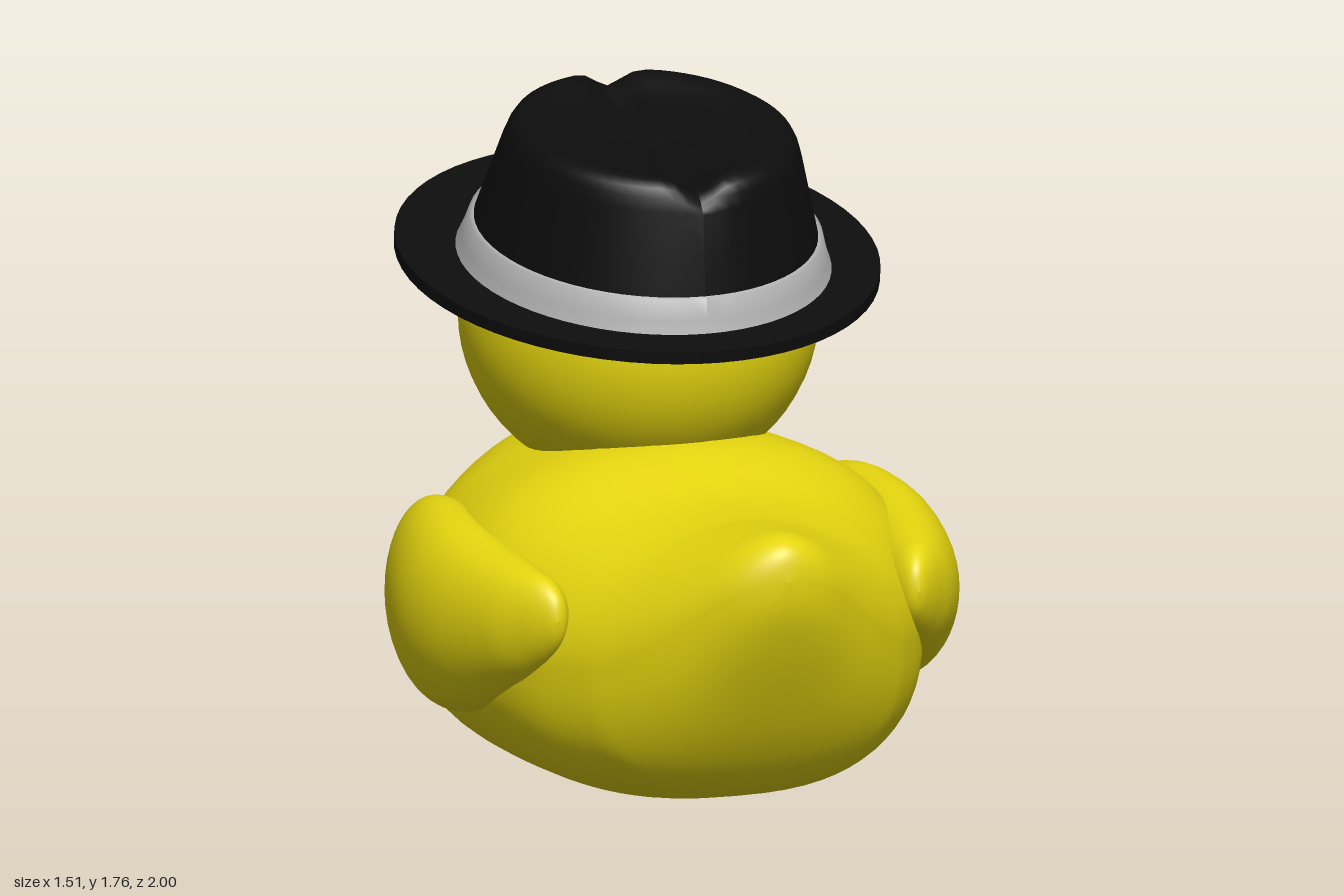
import * as THREE from 'three';

const YELLOW = 0xe6d60f, BLACK = 0x0d0d0d, ORANGE = 0xd58440, SILVER = 0xb8b8b8;

function part(name, geometry, color, parent) {
  const material = new THREE.MeshStandardMaterial({ color, side: THREE.DoubleSide });
  const mesh = new THREE.Mesh(geometry, material);
  mesh.name = name;
  parent.add(mesh);
  return mesh;
}

// Skin through rounded sections running from +z to -z.
// Station: [z, bottom y, top y, half width, centre x, roundness of upper half]
function loft(stations, { sub = 5, sides = 48, lower = 2, mirror = 1 } = {}) {
  const track = (k, def) =>
    new THREE.SplineCurve(stations.map((s) => new THREE.Vector2(s[0], s[k] ?? def)));
  const tracks = [track(1), track(2), track(3), track(4, 0), track(5, 2)];
  const rings = (stations.length - 1) * sub;
  const pos = [], idx = [];
  for (let i = 0; i <= rings; i++) {
    const p = tracks.map((t) => t.getPoint(i / rings));
    const [lo, hi, w, cx, upper] = p.map((v) => v.y);
    for (let j = 0; j < sides; j++) {
      const a = (j / sides) * Math.PI * 2, c = Math.cos(a), s = Math.sin(a);
      const e = 2 / (s > 0 ? upper : lower);
      const x = Math.sign(c) * Math.abs(c) ** e, y = Math.sign(s) * Math.abs(s) ** e;
      pos.push(mirror * cx + x * Math.max(w, 0), (lo + hi) / 2 + (y * (hi - lo)) / 2, p[0].x);
      if (i < rings) {
        const k = (j + 1) % sides, r = i * sides, q = r + sides;
        idx.push(r + j, q + j, r + k, r + k, q + j, q + k);
      }
    }
  }
  const g = new THREE.BufferGeometry();
  g.setAttribute('position', new THREE.Float32BufferAttribute(pos, 3));
  g.setIndex(idx);
  g.computeVertexNormals();
  return g;
}

const lathe = (points) =>
  new THREE.LatheGeometry(points.map(([r, y]) => new THREE.Vector2(r, y)), 64);

function createHat() {
  const hat = new THREE.Group();
  hat.name = 'hat';

  // Flat oval brim
  const brim = new THREE.CylinderGeometry(0.72, 0.72, 0.034, 64);
  brim.scale(0.875, 1, 1);
  part('hatBrim', brim, BLACK, hat);

  // Oval crown, leaning back a little, pinched along the middle of its top
  const shape = (g) => {
    const p = g.attributes.position;
    for (let i = 0; i < p.count; i++) {
      const y = p.getY(i), x = p.getX(i) * 0.89;
      const top = THREE.MathUtils.smoothstep(y, 0.3, 0.39);
      p.setXYZ(i, x, y - 0.045 * top * Math.exp(-((x / 0.05) ** 2)),
        p.getZ(i) + 0.05 + 0.09 * y);
    }
    g.computeVertexNormals();
    return g;
  };
  part('hatCrown', shape(lathe([
    [0.53, 0], [0.505, 0.1], [0.47, 0.22], [0.438, 0.33], [0.425, 0.365], [0.41, 0.388],
    [0.385, 0.402], [0.355, 0.402], [0.32, 0.39], [0.26, 0.375], [0.13, 0.37], [0, 0.37],
  ])), BLACK, hat);

  // Ribbon round the foot of the crown
  part('hatBand', shape(lathe([[0.55, 0.015], [0.535, 0.05], [0.518, 0.105], [0.5, 0.108]])), SILVER, hat);

  hat.position.set(0, 1.33, -0.285);
  hat.rotation.x = 0.139;
  return hat;
}

export function createModel() {
  const duck = new THREE.Group();
  duck.name = 'duck';

  // Body, from upturned tail to chest
  part('body', loft([
    [1.0, 0.76, 0.76, 0, 0, 1.8],
    [0.99, 0.68, 0.825, 0.06, 0, 1.8],
    [0.96, 0.59, 0.857, 0.125, 0, 1.8],
    [0.9, 0.46, 0.87, 0.2, 0, 1.8],
    [0.8, 0.28, 0.86, 0.305, 0, 1.8],
    [0.7, 0.15, 0.848, 0.39, 0, 1.85],
    [0.6, 0.085, 0.84, 0.46, 0, 1.9],
    [0.4, 0.035, 0.85, 0.565, 0, 2.1],
    [0.1, 0.015, 0.915, 0.645, 0, 2.2],
    [-0.2, 0.005, 0.89, 0.645, 0, 2.2],
    [-0.4, 0.01, 0.865, 0.585, 0, 2.2],
    [-0.6, 0.06, 0.835, 0.45, 0, 2.1],
    [-0.7, 0.145, 0.765, 0.34],
    [-0.77, 0.25, 0.67, 0.22],
    [-0.81, 0.36, 0.56, 0.1],
    [-0.82, 0.46, 0.46, 0],
  ], { lower: 2.6, sides: 64 }), YELLOW, duck);

  // Head
  const head = part('head', new THREE.SphereGeometry(0.475, 48, 32), YELLOW, duck);
  head.scale.y = 0.96;
  head.position.set(0, 1.18, -0.275);

  // Bill, ridged on top and flared at the sides
  part('bill', loft([
    [-0.66, 1.03, 1.16, 0.1, 0, 1.5],
    [-0.73, 1.03, 1.16, 0.125, 0, 1.4],
    [-0.79, 1.04, 1.132, 0.14, 0, 1.5],
    [-0.84, 1.052, 1.13, 0.125, 0, 1.8],
    [-0.885, 1.075, 1.13, 0.075],
    [-0.905, 1.105, 1.105, 0],
  ], { sides: 32 }), ORANGE, duck);

  for (const side of [1, -1]) {
    const label = side > 0 ? 'left' : 'right';

    // Folded wing bulging from the flank
    part(label + 'Wing', loft([
      [0.57, 0.585, 0.585, 0, 0.5],
      [0.555, 0.525, 0.645, 0.03, 0.5],
      [0.5, 0.455, 0.685, 0.07, 0.515],
      [0.4, 0.375, 0.7, 0.115, 0.54],
      [0.2, 0.26, 0.72, 0.155, 0.575],
      [0, 0.215, 0.74, 0.165, 0.59],
      [-0.2, 0.23, 0.74, 0.15, 0.575],
      [-0.36, 0.285, 0.695, 0.115, 0.55],
      [-0.45, 0.37, 0.62, 0.07, 0.54],
      [-0.48, 0.43, 0.56, 0.035, 0.53],
      [-0.49, 0.5, 0.5, 0, 0.52],
    ], { mirror: side, sides: 40 }), YELLOW, duck);

    // Eye: a flat button lying on the head
    const eye = part(label + 'Eye', new THREE.SphereGeometry(0.073, 24, 16), BLACK, duck);
    eye.scale.z = 0.25;
    eye.position.set(side * 0.3, 1.18, -0.643);
    eye.lookAt(side * 0.6, 1.18, -1.011);
  }

  duck.add(createHat());
  return duck;
}
